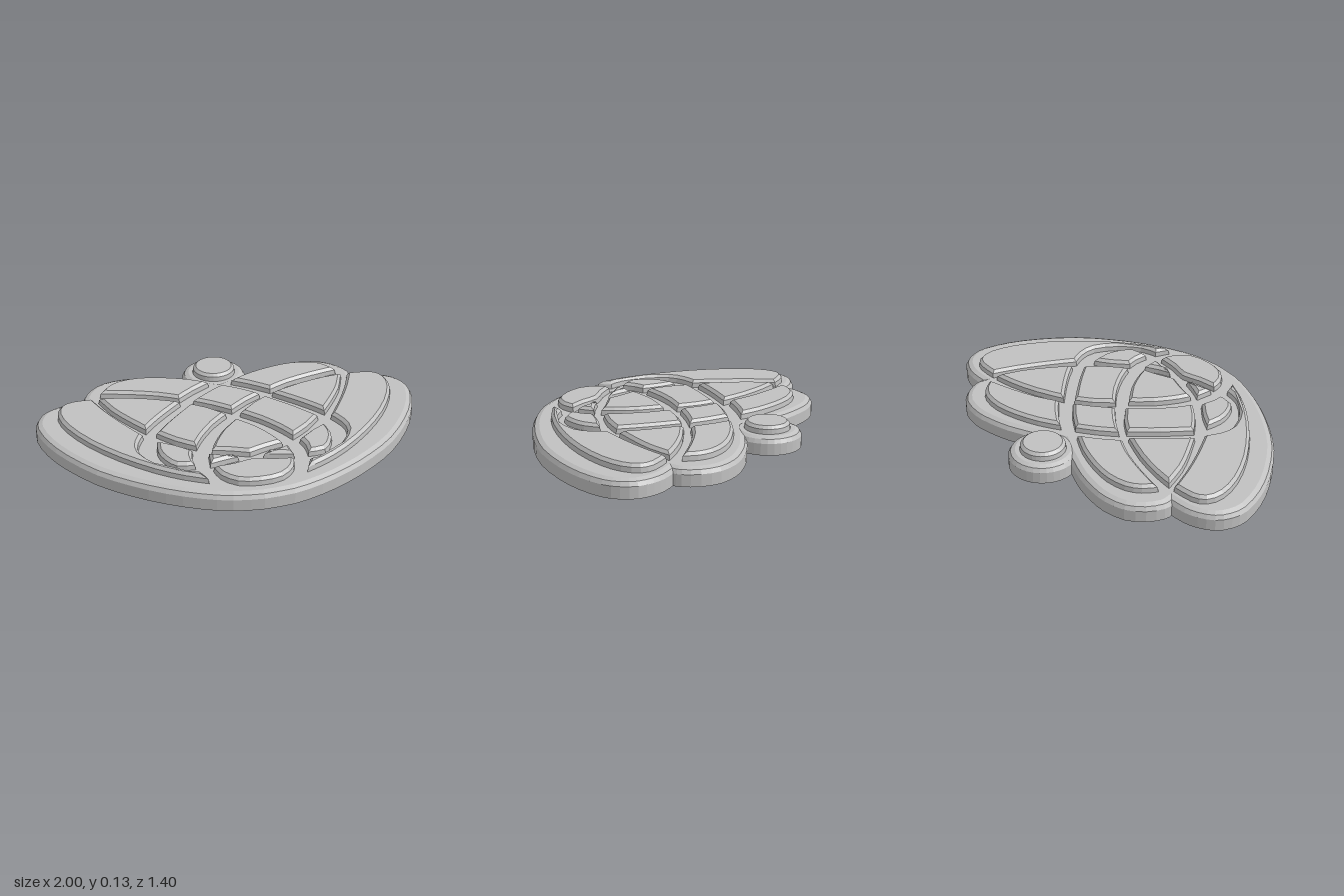
import * as THREE from 'three';

const silver = new THREE.MeshStandardMaterial({ color: 0xc0c0c0, side: THREE.DoubleSide, flatShading: true });
silver.name = 'silver grey';

// Closed contour from sides; each side is a smooth curve ending where the next begins.
function contour(sides) {
  const pts = [];
  sides.forEach((side, i) => {
    const ctrl = [...side, sides[(i + 1) % sides.length][0]].map(([x, z]) => new THREE.Vector2(x, z));
    const line = new THREE.SplineCurve(ctrl).getPoints(ctrl.length > 2 ? (ctrl.length - 1) * 2 : 1);
    pts.push(...line.slice(0, -1));
  });
  return THREE.ShapeUtils.isClockWise(pts) ? pts.reverse() : pts;
}

// Moves a contour inwards, with limited mitres at sharp tips.
function inset(pts, d) {
  const n = pts.length;
  return pts.map((p, i) => {
    const a = p.clone().sub(pts[(i + n - 1) % n]).normalize();
    const b = pts[(i + 1) % n].clone().sub(p).normalize();
    const m = new THREE.Vector2(-a.y - b.y, a.x + b.x).normalize();
    const c = Math.max(0.5, m.dot(new THREE.Vector2(-b.y, b.x)));
    return p.clone().addScaledVector(m, d / c);
  });
}

// Open-bottomed plate: walls follow [inset, height] steps, closed by a lid with optional holes.
function plate(name, pts, steps, holes = []) {
  const pos = [];
  const put = (p, y) => pos.push(p.x, y, p.y);
  const rings = steps.map(([d, y]) => ({ y, pts: d ? inset(pts, d) : pts }));
  for (let k = 0; k < rings.length - 1; k++) {
    const lo = rings[k], hi = rings[k + 1];
    pts.forEach((_, i) => {
      const j = (i + 1) % pts.length;
      put(lo.pts[i], lo.y); put(hi.pts[j], hi.y); put(lo.pts[j], lo.y);
      put(lo.pts[i], lo.y); put(hi.pts[i], hi.y); put(hi.pts[j], hi.y);
    });
  }
  const top = rings[rings.length - 1];
  const holePts = holes.map(h => h.slice().reverse());
  const all = [top.pts, ...holePts].flat();
  for (const [a, b, c] of THREE.ShapeUtils.triangulateShape(top.pts, holePts)) {
    put(all[a], top.y); put(all[c], top.y); put(all[b], top.y);
  }
  const geo = new THREE.BufferGeometry();
  geo.setAttribute('position', new THREE.Float32BufferAttribute(pos, 3));
  geo.computeVertexNormals();
  const mesh = new THREE.Mesh(geo, silver);
  mesh.name = name;
  return mesh;
}

const mirror = sides => sides.map(s => s.map(([x, z]) => [-x, z]));

// Outline of the right-hand half: belly, wing lobe and shoulder lobe
const belly = [[0, 0.7], [0.15, 0.685], [0.3, 0.635], [0.45, 0.56], [0.6, 0.46], [0.75, 0.33], [0.88, 0.16],
  [0.96, 0.01], [1, -0.13], [0.99, -0.22], [0.95, -0.29], [0.88, -0.335], [0.81, -0.355]];
const shoulder = [[0.733, -0.358], [0.732, -0.4], [0.69, -0.48], [0.61, -0.545], [0.5, -0.57], [0.4, -0.563],
  [0.28, -0.535], [0.17, -0.49], [0.08, -0.45]];
const flip = list => list.map(([x, z]) => [-x, z]).reverse();
const outline = [
  belly, shoulder,
  [[0, -0.41], ...flip(shoulder).slice(0, -1)],
  [[-0.733, -0.358], ...flip(belly).slice(0, -1)],
];

// Raised panels of the left side, mirrored to the right
const wing = [
  [[-0.69, -0.305], [-0.8, -0.3], [-0.865, -0.26], [-0.885, -0.17], [-0.85, -0.04], [-0.76, 0.12], [-0.63, 0.28],
    [-0.48, 0.42], [-0.35, 0.51]],
  [[-0.24, 0.565]],
  [[-0.27, 0.49], [-0.36, 0.465], [-0.46, 0.38], [-0.525, 0.27], [-0.52, 0.18]],
  [[-0.485, 0.105], [-0.57, -0.04], [-0.64, -0.18]],
];
const innerWing = [
  [[-0.66, -0.305], [-0.55, -0.29], [-0.4, -0.25]],
  [[-0.245, -0.185], [-0.34, -0.09], [-0.42, 0]],
  [[-0.465, 0.06], [-0.54, -0.05], [-0.61, -0.17]],
];
const petal = [
  [[-0.645, -0.36], [-0.6, -0.425], [-0.53, -0.47], [-0.42, -0.485], [-0.3, -0.465], [-0.17, -0.42]],
  [[-0.06, -0.36], [-0.15, -0.3]],
  [[-0.245, -0.22], [-0.35, -0.275], [-0.5, -0.325]],
];
const midPanel = [
  [[-0.2, -0.155], [-0.12, -0.1]],
  [[-0.035, -0.015], [-0.12, 0.07], [-0.2, 0.18]],
  [[-0.245, 0.265], [-0.34, 0.19]],
  [[-0.42, 0.1], [-0.35, 0.01], [-0.28, -0.07]],
];
const lowerPanel = [
  [[-0.43, 0.18], [-0.35, 0.23]],
  [[-0.27, 0.3], [-0.283, 0.36]],
  [[-0.28, 0.43], [-0.37, 0.42], [-0.42, 0.35], [-0.44, 0.27]],
];
const sliver = [[[-0.2, 0.34], [-0.13, 0.375]], [[-0.06, 0.4], [-0.13, 0.415]], [[-0.21, 0.435]]];

// Raised panels on the centre line
const topDiamond = [
  [[0, -0.32], [0.09, -0.26]], [[0.18, -0.185], [0.09, -0.125]],
  [[0, -0.05], [-0.09, -0.125]], [[-0.18, -0.185], [-0.09, -0.26]],
];
const lowDiamond = [
  [[0, 0.04], [0.09, 0.14], [0.155, 0.25]], [[0.18, 0.315], [0.09, 0.34]],
  [[0, 0.375], [-0.09, 0.34]], [[-0.18, 0.315], [-0.155, 0.25], [-0.09, 0.14]],
];
const tailPanel = [
  [[-0.2, 0.465], [-0.1, 0.455], [0, 0.43], [0.1, 0.455]],
  [[0.2, 0.465], [0.18, 0.54], [0.11, 0.61], [0, 0.63], [-0.11, 0.61], [-0.18, 0.54]],
];

export function createModel() {
  const group = new THREE.Group();
  group.name = 'pendant';

  // Base shell with a rounded rim, open under two panels
  const rim = [[0, 0], [0, 0.06], [0.012, 0.08], [0.035, 0.09]];
  group.add(plate('baseShell', contour(outline), rim, [contour(topDiamond), contour(petal)]));

  // Raised panels with bevelled tops
  const raised = [[0, 0.09], [0.003, 0.115], [0.018, 0.13]];
  const pairs = { wing, innerWing, petal, midPanel, lowerPanel, sliver };
  for (const [name, sides] of Object.entries(pairs)) {
    group.add(plate(name + 'Right', contour(sides), raised));
    group.add(plate(name + 'Left', contour(mirror(sides)), raised));
  }
  for (const [name, sides] of Object.entries({ topDiamond, lowDiamond, tailPanel })) {
    group.add(plate(name, contour(sides), raised));
  }

  // Round boss at the back
  const profile = [[0.172, 0], [0.172, 0.06], [0.16, 0.08], [0.138, 0.09], [0.115, 0.09], [0.112, 0.115],
    [0.097, 0.13], [0, 0.13]].map(([r, y]) => new THREE.Vector2(r, y));
  const boss = new THREE.Mesh(new THREE.LatheGeometry(profile, 32), silver);
  boss.name = 'boss';
  boss.position.z = -0.528;
  group.add(boss);

  return group;
}
